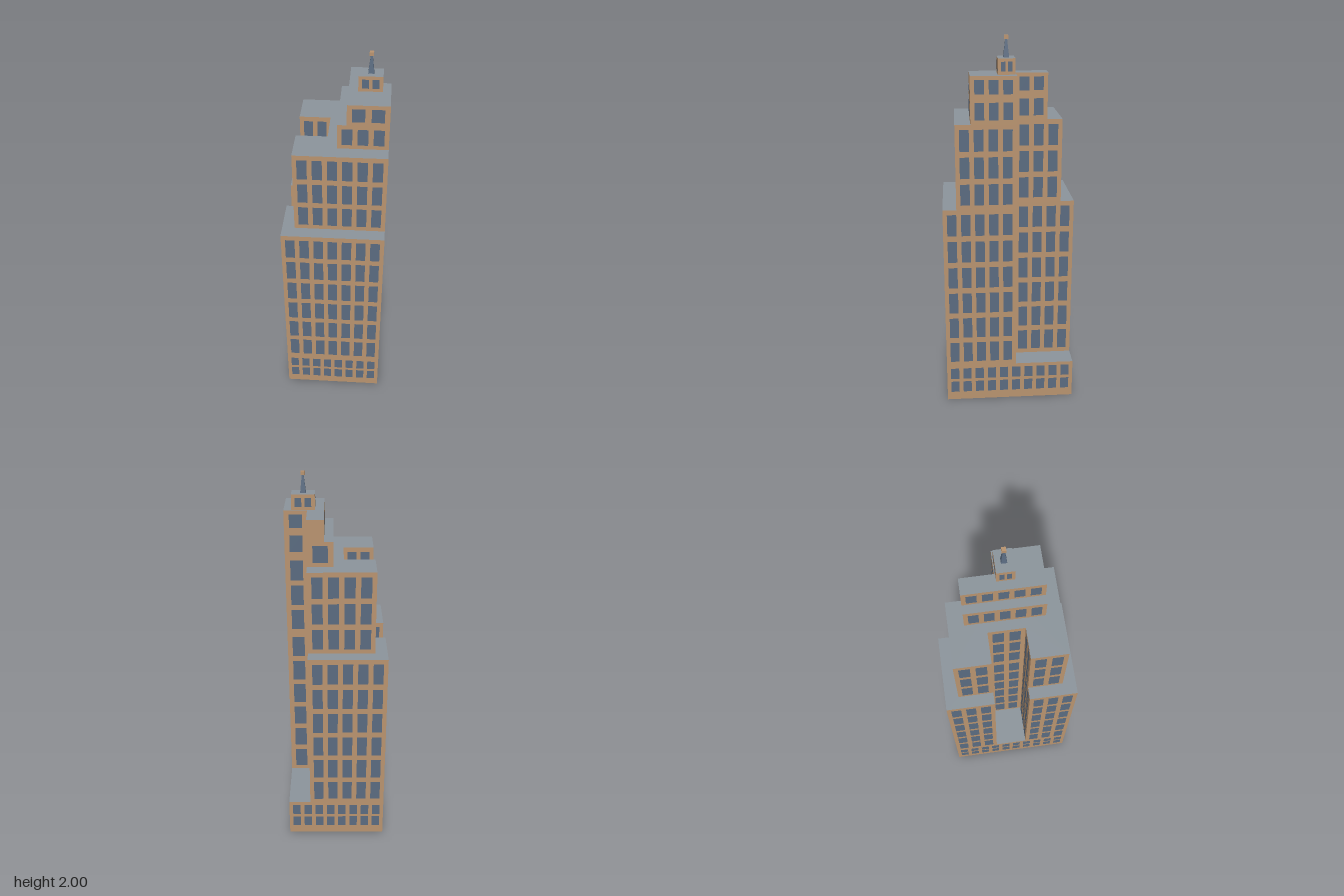
import * as THREE from 'three';
import { mergeGeometries } from 'three/addons/utils/BufferGeometryUtils.js';

const wallMat = new THREE.MeshStandardMaterial({ color: 0xb8936f, side: THREE.DoubleSide });
wallMat.name = 'tan masonry';
const roofMat = new THREE.MeshStandardMaterial({ color: 0x8b949b, side: THREE.DoubleSide });
roofMat.name = 'grey roofing';
const glassMat = new THREE.MeshStandardMaterial({ color: 0x5a6b80 });
glassMat.name = 'blue grey glass';

function addMesh(group, geometry, material, name) {
  const mesh = new THREE.Mesh(geometry, material);
  mesh.name = name;
  group.add(mesh);
  return mesh;
}

const rectangle = (x0, x1, z0, z1) => [[x0, z1], [x1, z1], [x1, z0], [x0, z0]];

// Tower plan: cut away at the back corner, optionally with a light well in the -x side
function towerPlan(x0, z, lightWell) {
  const plan = [[x0, z], [0.267, z], [0.267, -0.033], [0.147, -0.033], [0.147, -z], [x0, -z]];
  if (lightWell) plan.push([x0, -0.094], [-0.04, -0.094], [-0.04, 0.094], [x0, 0.094]);
  return plan;
}

// Column count grows with wall width; narrow walls stay blank
const usualColumns = (width) => (width < 0.1 ? 0 : Math.floor(width / 0.07));

// One storey block: a wall per plan edge, a window grid on each, and a flat roof
function makeTier({ name, plan, y0, y1, rows, columns = usualColumns, sill = 0.01 }) {
  const group = new THREE.Group();
  group.name = name;
  const walls = [], windows = [];

  plan.forEach(([ax, az], i) => {
    const [bx, bz] = plan[(i + 1) % plan.length];
    const width = Math.hypot(bx - ax, bz - az);
    const angle = Math.atan2(az - bz, bx - ax);
    const place = (g) => g.rotateY(angle).translate((ax + bx) / 2, 0, (az + bz) / 2);
    walls.push(place(new THREE.PlaneGeometry(width, y1 - y0).translate(0, (y0 + y1) / 2, 0)));

    const count = columns(width);
    const cellW = (width - 0.02) / count;
    const cellH = (y1 - y0 - sill - 0.01) / rows;
    for (let c = 0; c < count; c++) {
      for (let r = 0; r < rows; r++) {
        windows.push(place(new THREE.PlaneGeometry(cellW * 0.67, cellH * 0.79)
          .translate((c + 0.5 - count / 2) * cellW, y0 + sill + (r + 0.5) * cellH, 0.002)));
      }
    }
  });

  const shape = new THREE.Shape(plan.map(([x, z]) => new THREE.Vector2(x, -z)));
  const roof = new THREE.ShapeGeometry(shape).rotateX(-Math.PI / 2).translate(0, y1, 0);
  addMesh(group, mergeGeometries(walls), wallMat, name + 'Walls');
  addMesh(group, mergeGeometries(windows), glassMat, name + 'Windows');
  addMesh(group, roof, roofMat, name + 'Roof');
  return group;
}

export function createModel() {
  const model = new THREE.Group();
  model.name = 'steppedTower';

  const tiers = [
    // Podium, open underneath
    { name: 'podium', plan: rectangle(-0.267, 0.267, -0.353, 0.353), y0: 0, y1: 0.215, rows: 2,
      sill: 0.04, columns: (w) => (w > 0.6 ? 10 : 8) },
    // Stepped tower
    { name: 'mainShaft', plan: towerPlan(-0.267, 0.353, true), y0: 0.215, y1: 1.127, rows: 6 },
    { name: 'upperShaft', plan: towerPlan(-0.202, 0.281, true), y0: 1.127, y1: 1.573, rows: 3 },
    { name: 'lowerCrown', plan: towerPlan(0.013, 0.201, false), y0: 1.573, y1: 1.704, rows: 1 },
    { name: 'upperCrown', plan: towerPlan(0.06, 0.201, false), y0: 1.704, y1: 1.813, rows: 1 },
    { name: 'penthouse', plan: rectangle(0.107, 0.227, -0.028, 0.06), y0: 1.813, y1: 1.893, rows: 1,
      columns: () => 2 },
  ];
  tiers.forEach((tier) => model.add(makeTier(tier)));

  // Square tapered spire with a small cap
  const spire = new THREE.CylinderGeometry(0.006, 0.0205, 0.092, 4, 1).toNonIndexed();
  spire.computeVertexNormals();
  spire.rotateY(Math.PI / 4);
  addMesh(model, spire, glassMat, 'spire').position.set(0.167, 1.939, 0.015);
  addMesh(model, new THREE.BoxGeometry(0.021, 0.018, 0.021), wallMat, 'spireCap')
    .position.set(0.167, 1.991, 0.015);

  return model;
}
